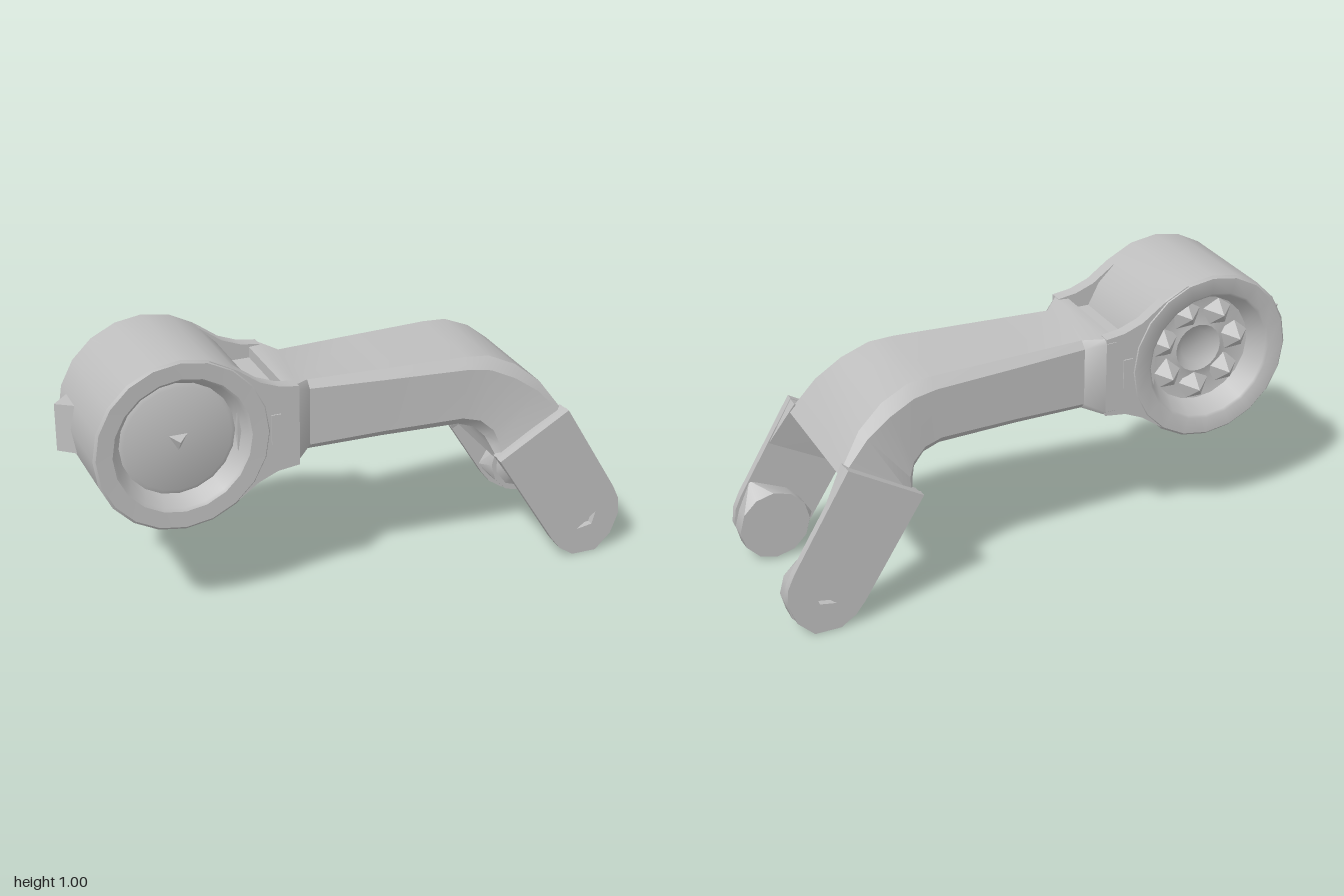
import * as THREE from 'three';
import { toCreasedNormals } from 'three/addons/utils/BufferGeometryUtils.js';
import { ConvexGeometry } from 'three/addons/geometries/ConvexGeometry.js';

export function createModel() {
  const model = new THREE.Group();
  const grey = new THREE.MeshStandardMaterial({ color: 0xbebebe });
  grey.name = 'cast grey';

  const add = (name, geo, x = 0, y = 0, z = 0, crease = 0.6) => {
    const mesh = new THREE.Mesh(toCreasedNormals(geo, crease), grey);
    mesh.name = name;
    mesh.position.set(x, y, z);
    model.add(mesh);
  };
  const v2 = (pts) => pts.map(([x, y]) => new THREE.Vector2(x, y));
  const hull = (pts) => new ConvexGeometry(pts.map((p) => new THREE.Vector3(...p)));
  // Turned part about the z axis; profile is [radius, z] from back to front
  const turned = (pts, n) => new THREE.LatheGeometry(v2(pts), n).rotateX(Math.PI / 2);
  // Flat plate between two depths
  const plate = (shape, z0, z1) => new THREE.ExtrudeGeometry(shape,
    { depth: z1 - z0, bevelEnabled: false, curveSegments: 8 }).translate(0, 0, z0);

  // Hub drum with a recess in each end
  const hx = -0.645, hy = 0.687;
  add('hub', turned([
    [0, -0.11], [0.06, -0.11], [0.09, -0.13], [0.13, -0.12], [0.2, -0.13], [0.235, -0.205],
    [0.245, -0.212], [0.303, -0.214], [0.312, -0.205], [0.312, 0.215], [0.303, 0.222], [0.245, 0.22],
    [0.235, 0.212], [0.205, 0.155], [0.19, 0.162], [0, 0.165]], 20), hx, hy);

  // Lumps around the rear recess
  for (let i = 0; i < 7; i++) {
    const a = i / 7 * Math.PI * 2 + 0.3;
    add('rearRecessLump', new THREE.ConeGeometry(0.07, 0.06, 5).rotateX(-Math.PI / 2),
      hx + 0.15 * Math.cos(a), hy + 0.15 * Math.sin(a), -0.145, 0.1);
  }
  // Small point standing on the front recess floor
  add('frontRecessPoint', new THREE.ConeGeometry(0.045, 0.03, 3).rotateX(Math.PI / 2),
    hx, hy, 0.175, 0.1);

  // Wedge lug on the outer side of the hub
  const lug = [[-1, 0.6, -0.085], [-1, 0.775, -0.085]];
  for (const y of [0.6, 0.78]) for (const z of [-0.15, -0.025]) lug.push([-0.93, y, z]);
  add('hubLug', hull(lug), 0, 0, 0, 0.1);

  // Side cheeks that flow from the hub into the neck
  const cheek = new THREE.Shape(v2([[-0.545, 0.98], [-0.45, 0.93], [-0.37, 0.872], [-0.3, 0.845],
    [-0.23, 0.835], [-0.23, 0.54], [-0.31, 0.53], [-0.38, 0.5], [-0.45, 0.45], [-0.545, 0.4]]));
  cheek.absarc(hx, hy, 0.27, -1.2, 1.2, false);
  add('neckCheekFront', plate(cheek, 0.17, 0.219));
  add('neckCheekBack', plate(cheek, -0.211, -0.165));
  add('neckCore', new THREE.BoxGeometry(0.2, 0.2, 0.36), -0.34, 0.69, 0);
  for (const z of [0.22, -0.212])
    add('neckPad', new THREE.BoxGeometry(0.035, 0.11, 0.008), -0.315, 0.69, z);

  // Bent arm: [top x, top y, bottom x, bottom y, half width, chamfer]
  const sections = [
    [-0.27, 0.83, -0.27, 0.545, 0.212, 0.01],
    [-0.23, 0.833, -0.23, 0.54, 0.212, 0.015],
    [-0.17, 0.815, -0.17, 0.553, 0.163, 0.025],
    [0.1, 0.815, 0.1, 0.56, 0.186, 0.03],
    [0.41, 0.815, 0.39, 0.56, 0.21, 0.035],
    [0.5, 0.808, 0.45, 0.54, 0.22, 0.04],
    [0.6, 0.763, 0.49, 0.5, 0.232, 0.04],
    [0.69, 0.69, 0.505, 0.465, 0.243, 0.03],
    [0.78, 0.562, 0.52, 0.42, 0.262, 0.01],
  ];
  const pos = [], idx = [], N = 8;
  for (const [tx, ty, bx, by, w, c] of sections) {
    const k = c / Math.hypot(tx - bx, ty - by);
    const ring = [[-w + c, 0], [-w, k], [-w, 1 - k], [-w + c, 1],
      [w - c, 1], [w, 1 - k], [w, k], [w - c, 0]];
    for (const [z, t] of ring) pos.push(bx + (tx - bx) * t, by + (ty - by) * t, z);
  }
  const last = (sections.length - 1) * N;
  for (let r = 0; r < last; r += N)
    for (let j = 0; j < N; j++) {
      const a = r + j, b = r + (j + 1) % N;
      idx.push(a, b, a + N, b, b + N, a + N);
    }
  for (let j = 1; j < N - 1; j++) idx.push(0, j + 1, j, last, last + j, last + j + 1);
  const arm = new THREE.BufferGeometry();
  arm.setAttribute('position', new THREE.Float32BufferAttribute(pos, 3));
  arm.setIndex(idx);
  add('arm', arm);

  // Fork prongs with a small dimple on the outside
  const px = 0.868, py = 0.135;
  const prong = new THREE.Shape(v2([[0.5, 0.445], [0.725, 0.085], [0.76, 0.04], [0.815, 0.003],
    [0.91, 0.002], [0.97, 0.06], [1, 0.14], [0.995, 0.2], [0.97, 0.255], [0.765, 0.6]]));
  prong.holes.push(new THREE.Path(v2([[px - 0.04, py - 0.03], [px + 0.02, py - 0.02], [px + 0.035, py + 0.03]])));
  add('prongFront', plate(prong, 0.275, 0.304));
  add('prongBack', plate(prong, -0.304, -0.275));

  for (const [side, s] of [['Front', 1], ['Back', -1]]) {
    // Root that thins from the arm down the inside of the prong
    add('prongRoot' + side, hull([
      [0.505, 0.445, 0.285 * s], [0.765, 0.598, 0.285 * s], [0.86, 0.43, 0.278 * s], [0.6, 0.29, 0.278 * s],
      [0.505, 0.44, 0.235 * s], [0.765, 0.595, 0.235 * s], [0.787, 0.55, 0.252 * s], [0.53, 0.4, 0.252 * s]]),
      0, 0, 0, 0.1);
    // Round boss inside the prong tip with a slope running up the prong
    const boss = [[0.71, 0.125, 0.28 * s], [0.935, 0.305, 0.28 * s]];
    for (let i = 0; i < 12; i++) {
      const a = i / 12 * Math.PI * 2, x = px + 0.13 * Math.cos(a), y = py + 0.131 * Math.sin(a);
      boss.push([x, y, 0.28 * s], [x, y + 0.004, 0.216 * s]);
    }
    add('boss' + side, hull(boss));
  }
  // Raised collar on the back boss
  add('bossCollar', turned([[0, -0.214], [0.115, -0.214], [0.075, -0.182], [0.05, -0.182], [0, -0.205]]
    .slice(1), 10), px, py + 0.01, 0);
  // Pin seat inside the collar
  add('pinSeat', new THREE.ConeGeometry(0.05, 0.02, 6).rotateX(Math.PI / 2), px, py + 0.01, -0.2, 0.1);

  return model;
}
